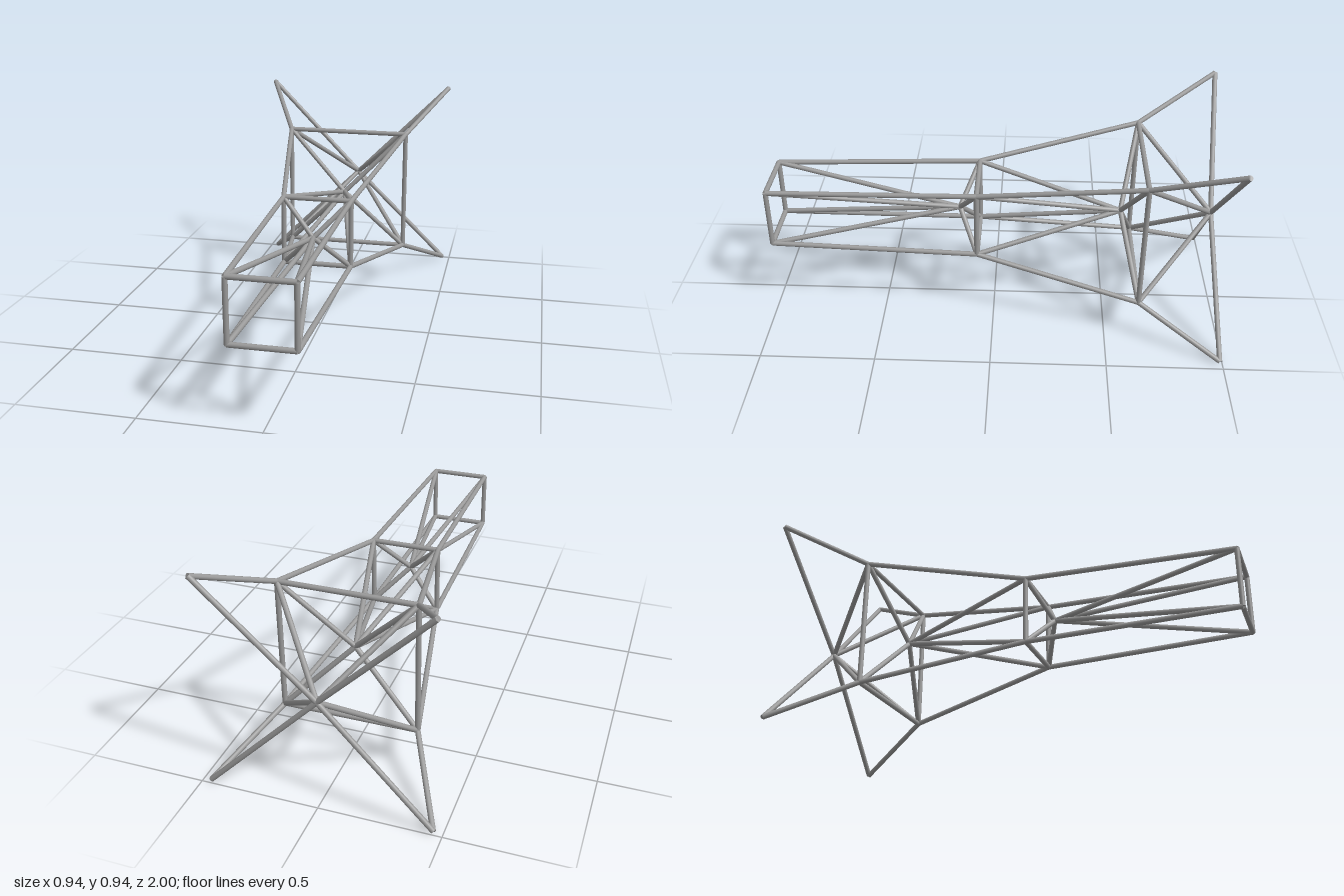
import * as THREE from 'three';

export function createModel() {
  const model = new THREE.Group();
  model.name = 'trussFrame';
  const steel = new THREE.MeshStandardMaterial({ color: 0x999999 });
  steel.name = 'grey steel';

  const midY = 0.4725, radius = 0.0112;
  const up = new THREE.Vector3(0, 1, 0);

  // Round bar between two joints
  function bar(name, a, b) {
    const dir = b.clone().sub(a);
    const mesh = new THREE.Mesh(new THREE.CylinderGeometry(radius, radius, dir.length(), 12), steel);
    mesh.position.copy(a).add(b).multiplyScalar(0.5);
    mesh.quaternion.setFromUnitVectors(up, dir.normalize());
    mesh.name = name;
    model.add(mesh);
  }

  // Four corner joints of each square station, front to back
  const corners = [[1, 1], [-1, 1], [-1, -1], [1, -1]];
  const stations = [[0.132, 0.989], [0.151, 0.073], [0.289, -0.64], [0.462, -0.989]].map(
    ([half, z]) => corners.map(([x, y]) => new THREE.Vector3(x * half, midY + y * half, z)));

  // Central joint inside each bay
  const hubs = [0.155, -0.56, -0.96].map((z) => new THREE.Vector3(0, midY, z));

  // Square rings; the rear tips stay open
  for (const ring of stations.slice(0, 3)) {
    ring.forEach((p, i) => bar('ringBar', p, ring[(i + 1) % 4]));
  }

  // Corner rails and diagonal braces of each bay
  hubs.forEach((hub, bay) => {
    for (let i = 0; i < 4; i++) {
      const front = stations[bay][i], back = stations[bay + 1][i];
      bar(bay === 2 ? 'rearProng' : 'cornerRail', front, back);
      bar('frontBrace', front, hub);
      bar('backBrace', back, hub);
    }
  });

  return model;
}
